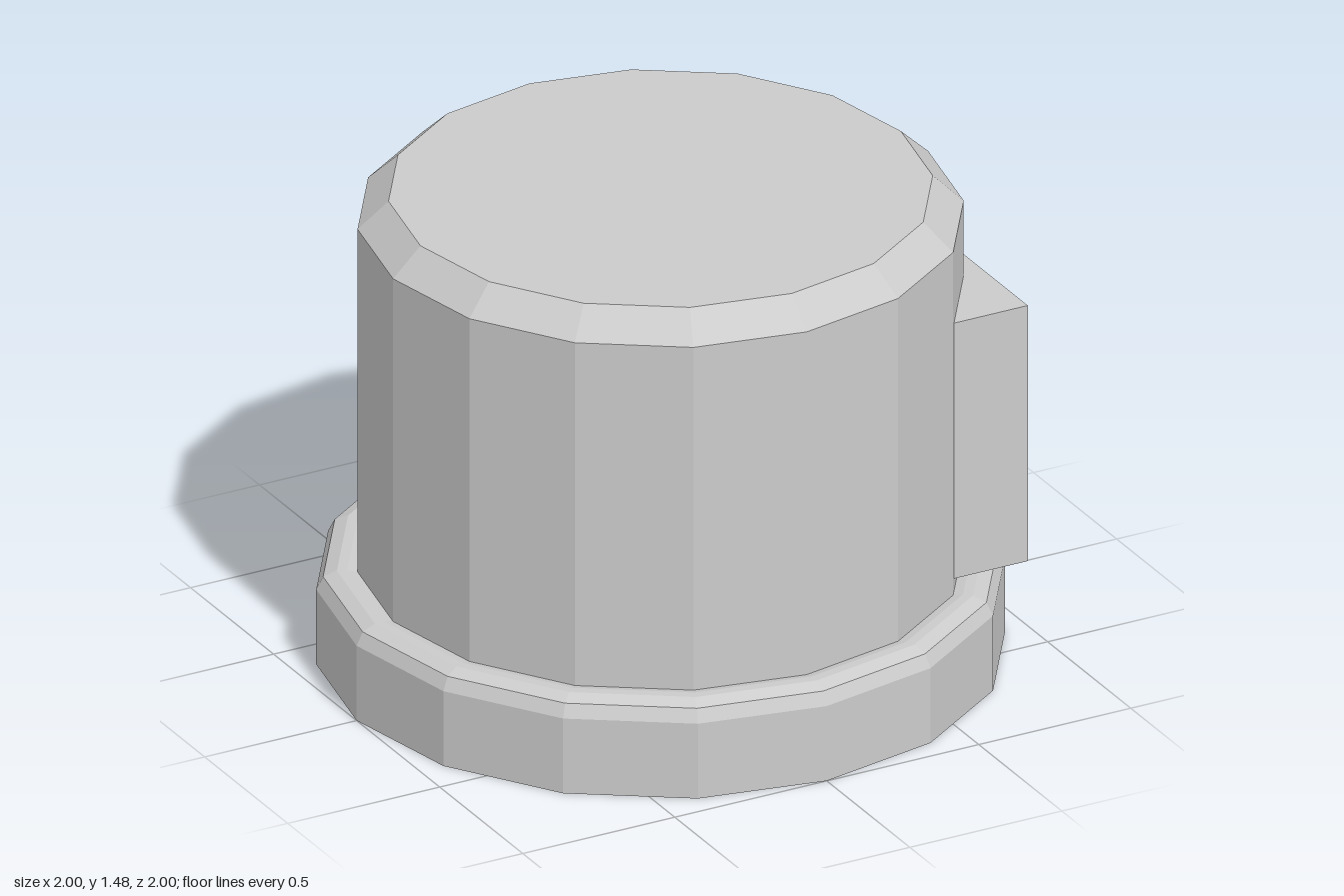
import * as THREE from 'three';

const SIDES = 16;
const material = new THREE.MeshStandardMaterial({ color: 0xcccccc, flatShading: true });

function part(name, geometry) {
  const mesh = new THREE.Mesh(geometry, material);
  mesh.name = name;
  return mesh;
}

function lathe(profile) {
  return new THREE.LatheGeometry(profile.map(([r, y]) => new THREE.Vector2(r, y)), SIDES);
}

// Rectangle outline centred on the origin
function rectangle(target, w, h) {
  target.moveTo(-w / 2, -h / 2);
  target.lineTo(w / 2, -h / 2);
  target.lineTo(w / 2, h / 2);
  target.lineTo(-w / 2, h / 2);
  target.closePath();
  return target;
}

export function createModel() {
  const group = new THREE.Group();

  // Wide foot with a softened upper rim
  group.add(part('base', lathe([
    [0, 0], [1, 0], [1, 0.24], [0.98, 0.28], [0.94, 0.297], [0.91, 0.297], [0.88, 0.29], [0.8, 0.29],
  ])));

  // Drum with a chamfered top
  const drum = lathe([
    [0.88, 0.28], [0.88, 0.35], [0.88, 0.38], [0.88, 1.1], [0.88, 1.13],
    [0.88, 1.39], [0.79, 1.475], [0, 1.475],
  ]);
  // Push the ridge behind the panel inward so that it clears the recess
  const p = drum.attributes.position;
  for (let i = 0; i < p.count; i++) {
    if (p.getX(i) > 0.87 && p.getY(i) > 0.37 && p.getY(i) < 1.11) p.setX(i, 0.79);
  }
  group.add(part('drum', drum));

  // Side panel: frame around a shallow recess
  const panel = new THREE.Group();
  panel.name = 'sidePanel';
  const outline = rectangle(new THREE.Shape(), 1.2, 0.82);
  outline.holes.push(rectangle(new THREE.Path(), 1.06, 0.675));
  const frame = new THREE.ExtrudeGeometry(outline, { depth: 0.26, bevelEnabled: false });
  panel.add(part('panelFrame', frame));
  const face = part('panelFace', new THREE.BoxGeometry(1.06, 0.675, 0.22));
  face.position.z = 0.11;
  panel.add(face);
  panel.rotation.y = Math.PI / 2;
  panel.position.set(0.62, 0.74, 0);
  group.add(panel);

  return group;
}
